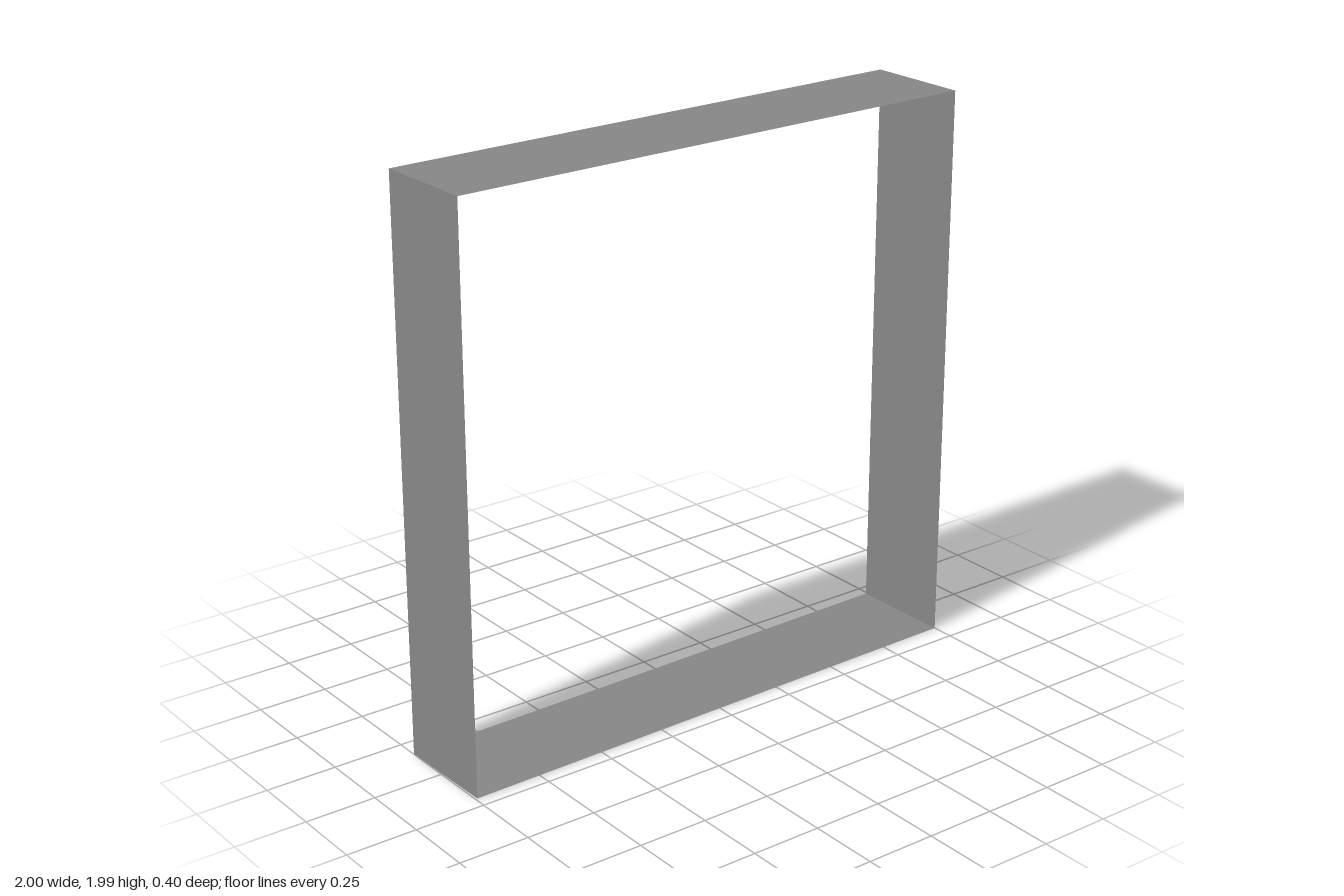
import * as THREE from 'three';

export function createModel() {
  const group = new THREE.Group();
  group.name = 'squareFrame';
  const material = new THREE.MeshStandardMaterial({
    color: 0x888888, flatShading: true, side: THREE.DoubleSide,
  });
  const half = 0.996, height = 1.994, depth = 0.372;

  // Paper-thin panels forming an open square band, facing outwards
  function addPanel(name, w, d, position, rotation) {
    const panel = new THREE.Mesh(new THREE.PlaneGeometry(w, d), material);
    panel.name = name;
    panel.position.set(...position);
    panel.rotation.set(...rotation);
    group.add(panel);
  }
  const q = Math.PI / 2;
  addPanel('topPanel', 2 * half, depth, [0, height, 0], [-q, 0, 0]);
  addPanel('bottomPanel', 2 * half, depth, [0, 0, 0], [q, 0, 0]);
  addPanel('leftPanel', depth, height, [half, height / 2, 0], [0, q, 0]);
  addPanel('rightPanel', depth, height, [-half, height / 2, 0], [0, -q, 0]);

  // The whole frame is turned by about one degree
  group.rotation.y = THREE.MathUtils.degToRad(0.95);
  return group;
}
